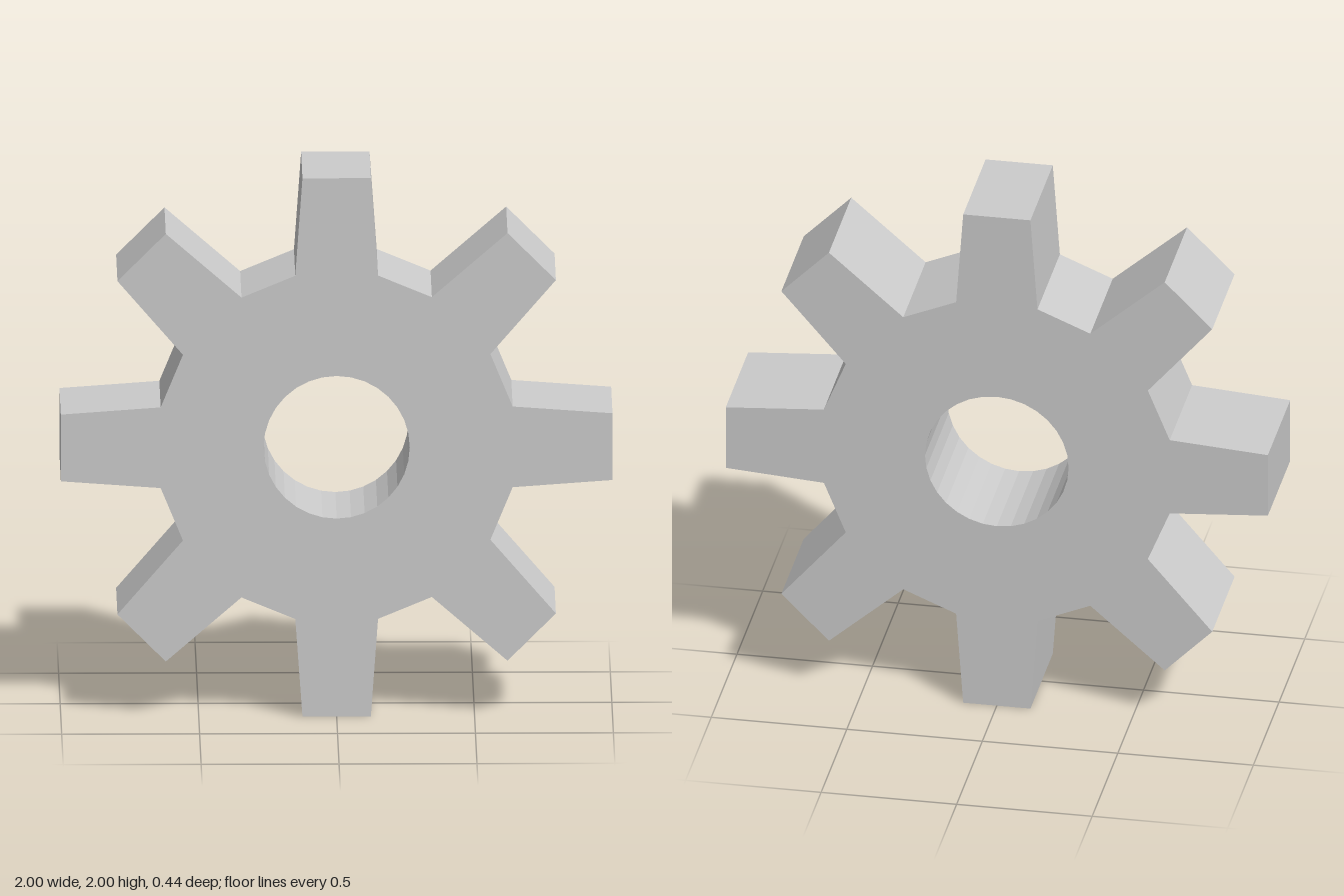
import * as THREE from 'three';

const TEETH = 8;
const DEPTH = 0.436;
const HOLE_RADIUS = 0.265;
// One tooth, pointing up: root, tip, tip, root (clockwise)
const TOOTH = [[-0.15, 0.638], [-0.124, 1], [0.124, 1], [0.15, 0.638]];

export function createModel() {
  const group = new THREE.Group();
  group.name = 'gear';

  // Outline: the tooth repeated around the hub, joined by straight root edges
  const outline = [];
  for (let i = 0; i < TEETH; i++) {
    const angle = (-i * 2 * Math.PI) / TEETH;
    for (const [x, y] of TOOTH) {
      outline.push(new THREE.Vector2(x, y).rotateAround(new THREE.Vector2(), angle));
    }
  }
  const shape = new THREE.Shape(outline);

  // Round axle hole
  const hole = new THREE.Path();
  hole.absarc(0, 0, HOLE_RADIUS, 0, Math.PI * 2, false);
  shape.holes.push(hole);

  // Solid gear body, centred in depth and standing on the ground
  const geometry = new THREE.ExtrudeGeometry(shape, {
    depth: DEPTH, bevelEnabled: false, curveSegments: 16,
  });
  geometry.translate(0, 1, -DEPTH / 2);

  const body = new THREE.Mesh(
    geometry,
    new THREE.MeshStandardMaterial({ color: 0xcccccc, flatShading: true }),
  );
  body.name = 'gearBody';
  group.add(body);
  return group;
}
